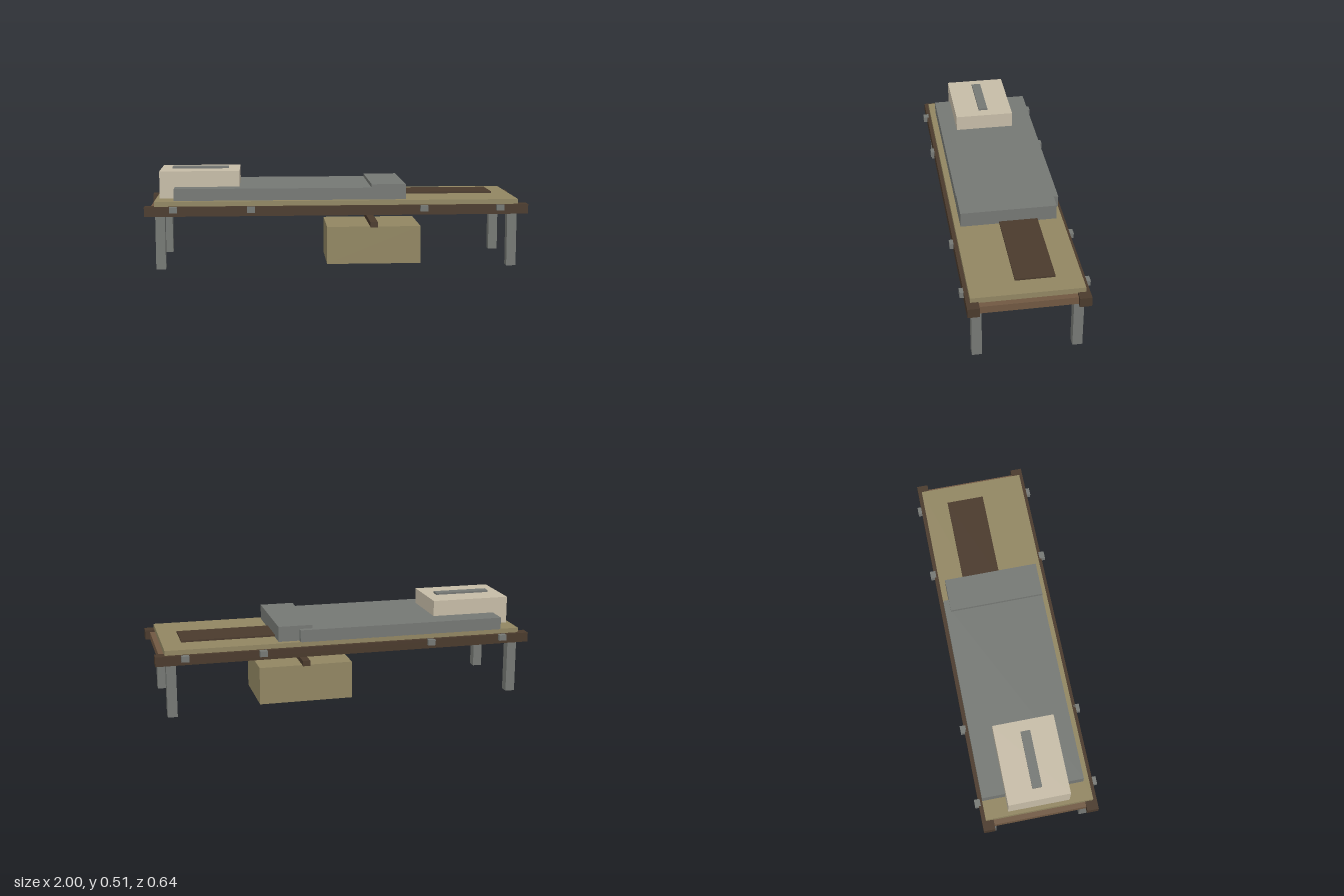
import * as THREE from 'three';

const mat = (name, color) => {
  const m = new THREE.MeshStandardMaterial({ color });
  m.name = name;
  return m;
};

export function createModel() {
  const bed = new THREE.Group();
  bed.name = 'cot';
  const darkWood = mat('dark wood', 0x4a3a2c);
  const brownWood = mat('brown wood', 0x705842);
  const canvas = mat('olive canvas', 0x918662);
  const grey = mat('grey wool and metal', 0x757874);
  const linen = mat('linen', 0xc6bca7);

  // Box given by its extents on each axis
  const box = (name, material, [x0, x1], [y0, y1], [z0, z1]) => {
    const mesh = new THREE.Mesh(new THREE.BoxGeometry(x1 - x0, y1 - y0, z1 - z0), material);
    mesh.position.set((x0 + x1) / 2, (y0 + y1) / 2, (z0 + z1) / 2);
    mesh.name = name;
    bed.add(mesh);
  };
  const span = (centre, size) => [centre - size / 2, centre + size / 2];

  // Frame: side rails, legs and rail bolts, mirrored front to back
  for (const s of [-1, 1]) {
    box('sideRail', darkWood, [-1, 1], [0.28, 0.33], span(s * 0.27, 0.06));
    for (const x of [-0.92, 0.92]) {
      box('leg', grey, span(x, 0.05), [0, 0.28], span(s * 0.25, 0.05));
    }
    for (const x of [-0.85, -0.45, 0.45, 0.85]) {
      box('railBolt', grey, span(x, 0.04), [0.3, 0.33], span(s * 0.305, 0.03));
    }
  }

  // Cross slats
  for (let i = 0; i < 11; i++) {
    box('slat', brownWood, span(-0.95 + i * 0.19, 0.05), [0.2805, 0.32], [-0.295, 0.295]);
  }

  // Bedding
  box('mattress', canvas, [-0.95, 0.95], [0.325, 0.355], [-0.28, 0.28]);
  box('blanket', grey, [-0.85, 0.25], [0.353, 0.417], [-0.28, 0.249]);
  box('blanketFold', grey, [0.18, 0.36], [0.354, 0.435], [-0.25, 0.25]);
  box('pillow', linen, [-0.93, -0.51], [0.356, 0.5], [-0.16, 0.16]);
  box('pillowStrip', grey, [-0.87, -0.57], [0.499, 0.51], [-0.025, 0.025]);
  box('footMat', darkWood, [0.35, 0.85], [0.358, 0.367], [-0.15, 0.05]);

  // Storage box under the bed
  box('storageBox', canvas, [-0.05, 0.45], [0, 0.2], [-0.18, 0.18]);
  box('storageBoxStrap', darkWood, [0.18, 0.22], [0.196, 0.225], [-0.19, 0.19]);

  return bed;
}
